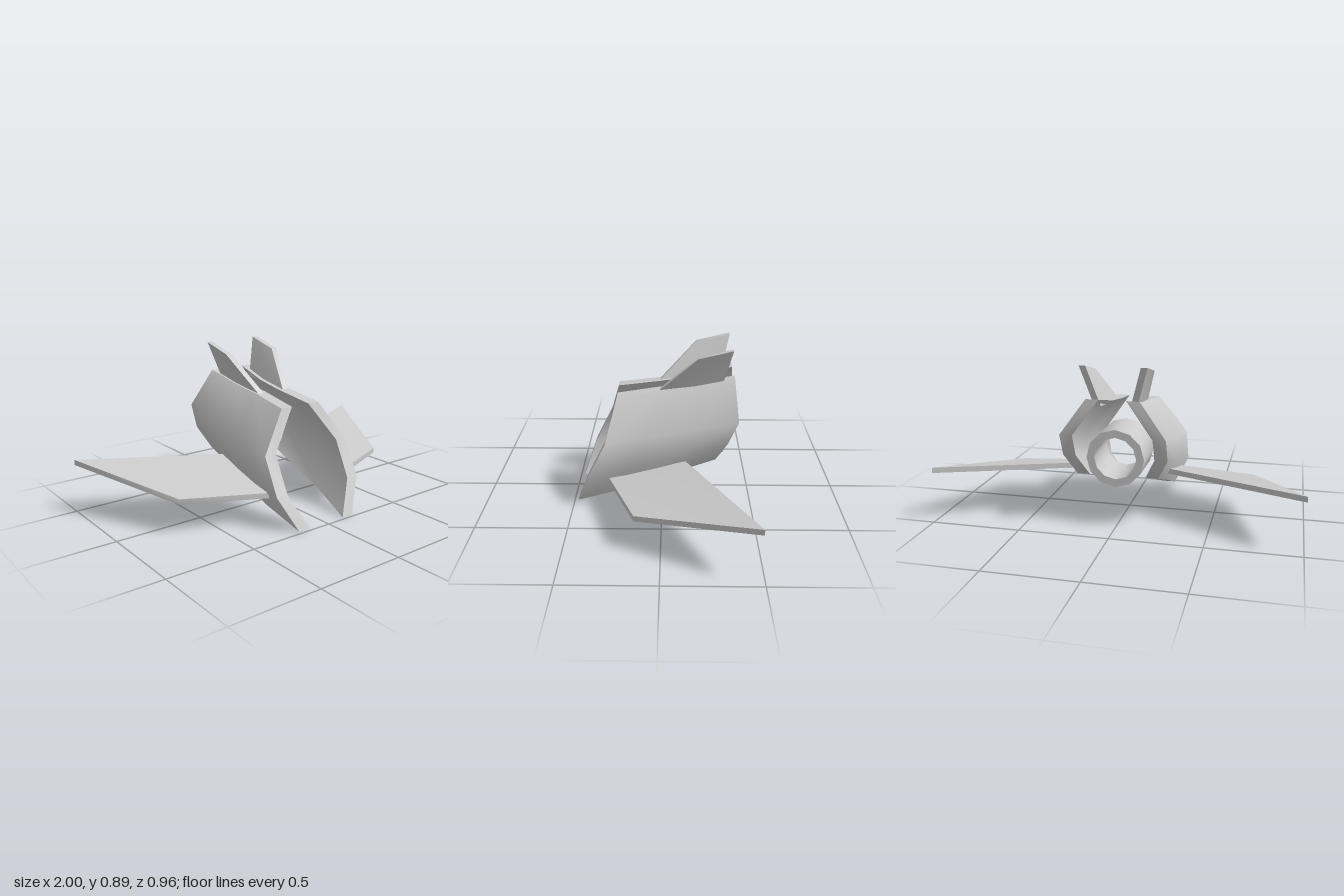
import * as THREE from 'three';
import { toCreasedNormals } from 'three/addons/utils/BufferGeometryUtils.js';

const material = new THREE.MeshStandardMaterial({ color: 0xcccccc });

// Closed shell: a grid of points (rows of [x, y, z]) thickened along an offset vector.
function slab(rows, offset, side) {
  const nr = rows.length, nc = rows[0].length, n = nr * nc;
  const pos = [], idx = [];
  for (const k of [0, 1])
    for (const row of rows)
      for (const p of row)
        pos.push(side * (p[0] + k * offset[0]), p[1] + k * offset[1], p[2] + k * offset[2]);
  const quad = (a, b, c, d) => idx.push(a, b, c, a, c, d);
  const at = (r, c) => r * nc + c;
  for (let r = 0; r < nr - 1; r++)
    for (let c = 0; c < nc - 1; c++) {
      const a = at(r, c), b = at(r, c + 1), d = at(r + 1, c), e = at(r + 1, c + 1);
      quad(a, b, e, d);
      quad(a + n, d + n, e + n, b + n);
    }
  // Rim around the border of the grid
  const rim = [];
  for (let c = 0; c < nc - 1; c++) rim.push(at(0, c));
  for (let r = 0; r < nr - 1; r++) rim.push(at(r, nc - 1));
  for (let c = nc - 1; c > 0; c--) rim.push(at(nr - 1, c));
  for (let r = nr - 1; r > 0; r--) rim.push(at(r, 0));
  rim.forEach((a, i) => {
    const b = rim[(i + 1) % rim.length];
    quad(b, a, a + n, b + n);
  });
  // Turn the faces outward if the signed volume is negative
  const v = (i) => new THREE.Vector3().fromArray(pos, i * 3);
  let volume = 0;
  for (let i = 0; i < idx.length; i += 3)
    volume += v(idx[i]).dot(v(idx[i + 1]).cross(v(idx[i + 2])));
  if (volume < 0) idx.reverse();
  const g = new THREE.BufferGeometry();
  g.setAttribute('position', new THREE.Float32BufferAttribute(pos, 3));
  g.setIndex(idx);
  return toCreasedNormals(g, THREE.MathUtils.degToRad(47));
}

export function createModel() {
  const model = new THREE.Group();
  const add = (name, geometry) => {
    const mesh = new THREE.Mesh(geometry, material);
    mesh.name = name;
    model.add(mesh);
  };

  // Hull panel: inner surface, rows from bottom edge to top edge, each front to rear
  const panel = [
    [[0.12, 0, 0.48], [0.155, 0.085, 0.24], [0.155, 0.19, -0.04], [0.155, 0.28, -0.295]],
    [[0.215, 0.19, 0.41], [0.215, 0.26, 0.17], [0.215, 0.33, -0.1], [0.215, 0.4, -0.355]],
    [[0.215, 0.39, 0.31], [0.215, 0.435, 0.08], [0.215, 0.48, -0.17], [0.215, 0.525, -0.412]],
    [[0.058, 0.61, 0.25], [0.045, 0.645, 0], [0.053, 0.67, -0.18], [0.073, 0.72, -0.395]],
  ];
  // Wing underside: root edge, then outer edge
  const wing = [
    [[0.25, 0.145, 0.295], [0.23, 0.255, -0.115]],
    [[0.705, 0.17, 0.135], [1, 0.28, -0.478]],
  ];
  // Tail fin inner face: base, then top
  const fin = [
    [[0.066, 0.635, 0.02], [0.08, 0.67, -0.327]],
    [[0.145, 0.845, -0.19], [0.146, 0.892, -0.38]],
  ];

  for (const [side, label] of [[1, 'left'], [-1, 'right']]) {
    add(label + 'HullPanel', slab(panel, [0.07, 0, 0], side));
    add(label + 'Wing', slab(wing, [0, 0.03, 0], side));
    add(label + 'TailFin', slab(fin, [0.035, 0, 0], side));
  }

  // Engine: open ring tube between the panels
  const ro = 0.158, ri = 0.115, back = -0.345, front = -0.08;
  const profile = [[ri, back], [ro, back], [ro, front], [ri, front], [ri, back]]
    .map(([r, z]) => new THREE.Vector2(r, z));
  const engine = new THREE.LatheGeometry(profile, 12);
  engine.rotateX(Math.PI / 2).translate(0, 0.392, 0);
  add('engineTube', toCreasedNormals(engine, THREE.MathUtils.degToRad(45)));

  return model;
}
